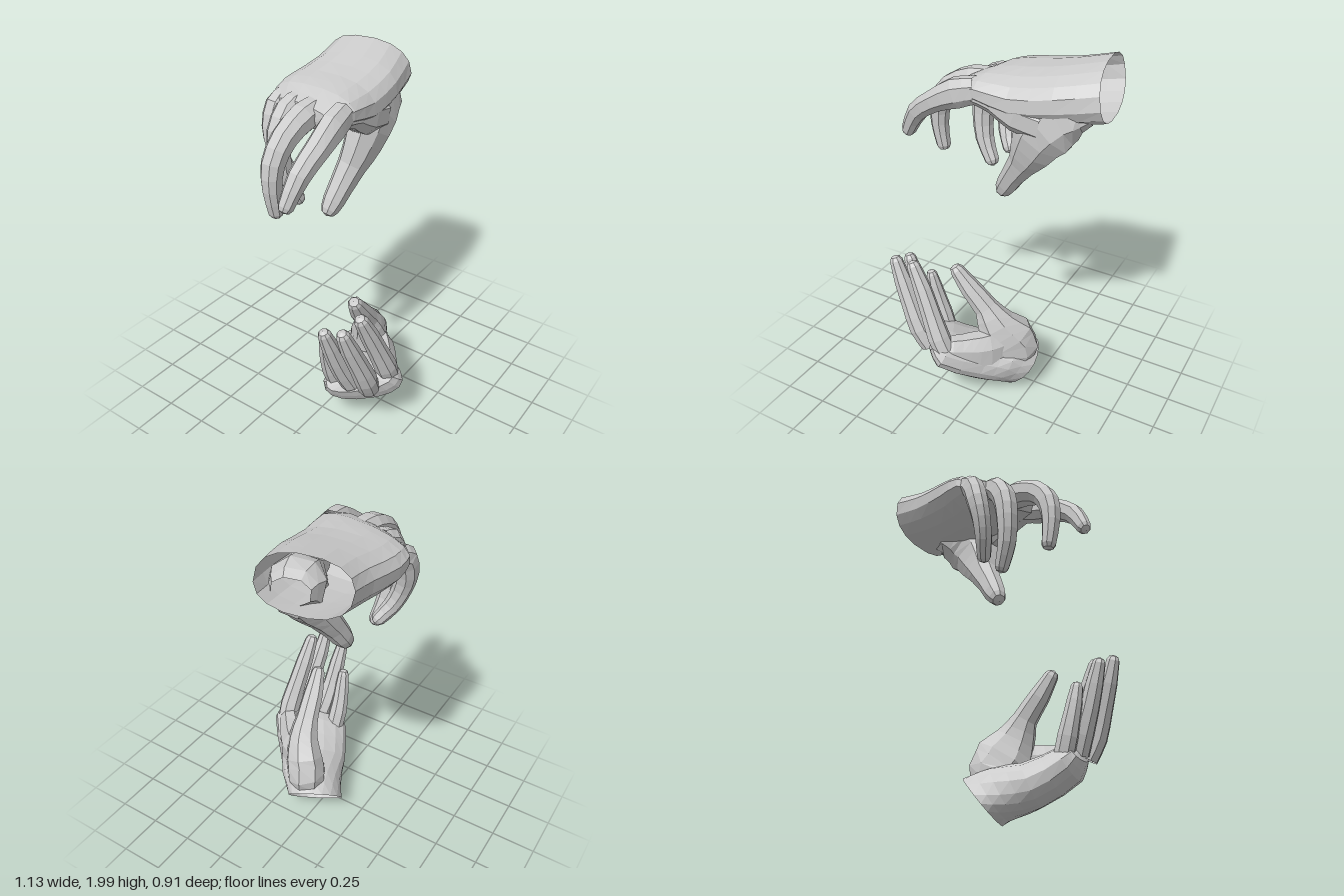
import * as THREE from 'three';

const V = (a) => new THREE.Vector3(a[0], a[1], a[2]);
const material = new THREE.MeshStandardMaterial({ color: 0xcccccc, flatShading: true, side: THREE.DoubleSide });

// Skin a list of closed rings, ending in a single apex point
function loft(name, rings, apex) {
  const n = rings[0].length, pos = [], idx = [];
  for (const ring of rings) for (const p of ring) pos.push(p.x, p.y, p.z);
  pos.push(apex.x, apex.y, apex.z);
  const last = rings.length - 1, tip = rings.length * n;
  for (let i = 0; i <= last; i++) {
    for (let j = 0; j < n; j++) {
      const a = i * n + j, b = i * n + (j + 1) % n;
      if (i < last) idx.push(a, b, a + n, b, b + n, a + n);
      else idx.push(a, b, tip);
    }
  }
  const geometry = new THREE.BufferGeometry();
  geometry.setAttribute('position', new THREE.Float32BufferAttribute(pos, 3));
  geometry.setIndex(idx);
  geometry.computeVertexNormals();
  const mesh = new THREE.Mesh(geometry, material);
  mesh.name = name;
  return mesh;
}

// Ring around centre c with half-axes w and t; power < 1 makes it boxier
function ring(c, w, t, sides, power) {
  const out = [];
  const soft = (x) => Math.sign(x) * Math.pow(Math.abs(x), power);
  for (let j = 0; j < sides; j++) {
    const a = (j + 0.5) / sides * Math.PI * 2;
    out.push(c.clone().addScaledVector(w, soft(Math.cos(a))).addScaledVector(t, soft(Math.sin(a))));
  }
  return out;
}

// Finger along points [x, y, z, radius, optional cross radius], with a rounded tip
function finger(name, pts, side) {
  const curve = new THREE.CatmullRomCurve3(pts.map(V));
  const segs = pts.length - 1, steps = segs * 2, rings = [];
  const flat = 1 / Math.cos(Math.PI / 8); // radii are measured to the flats
  const add = (c, T, ru, rv) => {
    const u = V(side).addScaledVector(T, -V(side).dot(T)).normalize();
    const v = T.clone().cross(u);
    rings.push(ring(c, u.multiplyScalar(ru * flat), v.multiplyScalar(rv * flat), 8, 0.9));
  };
  for (let i = 0; i <= steps; i++) {
    const k = Math.min(Math.floor(i / 2), segs - 1), f = i / 2 - k;
    const [, , , u0, v0 = u0] = pts[k], [, , , u1, v1 = u1] = pts[k + 1];
    add(curve.getPoint(i / steps), curve.getTangent(i / steps), u0 * (1 - f) + u1 * f, v0 * (1 - f) + v1 * f);
  }
  const end = curve.getPoint(1), T = curve.getTangent(1), [, , , u, v = u] = pts[segs];
  add(end.clone().addScaledVector(T, u * 0.6), T, u * 0.7, v * 0.7);
  return loft(name, rings, end.clone().addScaledVector(T, u * 0.9));
}

// Hand: open wrist, palm through sections [centre, half width, half thickness], five digits
function hand(name, sections, apex, digits, side) {
  const group = new THREE.Group();
  group.name = name;
  const axes = [0, 1, 2].map((k) => new THREE.CatmullRomCurve3(sections.map((s) => V(s[k]))));
  const rings = [], steps = (sections.length - 1) * 2;
  for (let i = 0; i <= steps; i++) {
    const [c, w, t] = axes.map((curve) => curve.getPoint(i / steps));
    rings.push(ring(c, w, t, 16, 0.85));
  }
  group.add(loft('palm', rings, V(apex)));
  for (const [part, pts] of Object.entries(digits)) group.add(finger(part, pts, side));
  return group;
}

export function createModel() {
  const model = new THREE.Group();
  model.name = 'pairOfHands';

  // Upper hand, palm down, fingers hanging; the thumb fans out into the palm
  const upper = hand('upperHand', [
    [[0.52, 1.86, -0.205], [0.03, 0, 0.235], [-0.03, 0.14, -0.02]],
    [[0.32, 1.82, -0.175], [0.01, 0, 0.26], [-0.01, 0.14, -0.01]],
    [[0.1, 1.79, -0.173], [0, 0, 0.28], [0, 0.13, -0.01]],
    [[-0.05, 1.805, -0.165], [-0.03, 0.01, 0.275], [0, 0.095, 0]],
    [[-0.15, 1.785, -0.15], [-0.06, 0.01, 0.23], [-0.01, 0.06, 0]],
  ], [-0.18, 1.775, -0.14], {
    indexFinger: [[-0.09, 1.815, 0.045, 0.055, 0.065], [-0.2, 1.785, 0.06, 0.06, 0.075], [-0.33, 1.72, 0.063, 0.057],
      [-0.45, 1.63, 0.05, 0.05], [-0.53, 1.5, 0.03, 0.036]],
    middleFinger: [[-0.09, 1.812, -0.112, 0.06], [-0.2, 1.795, -0.118, 0.068], [-0.34, 1.735, -0.122, 0.06],
      [-0.42, 1.63, -0.13, 0.054], [-0.435, 1.5, -0.13, 0.045], [-0.415, 1.37, -0.13, 0.036]],
    ringFinger: [[-0.08, 1.81, -0.24, 0.055], [-0.15, 1.785, -0.248, 0.062], [-0.215, 1.69, -0.255, 0.06],
      [-0.23, 1.56, -0.25, 0.054], [-0.21, 1.42, -0.23, 0.047], [-0.15, 1.305, -0.205, 0.036]],
    littleFinger: [[-0.03, 1.8, -0.365, 0.05], [-0.085, 1.765, -0.372, 0.058], [-0.125, 1.66, -0.375, 0.054],
      [-0.135, 1.55, -0.35, 0.047], [-0.115, 1.45, -0.31, 0.042], [-0.07, 1.375, -0.26, 0.034]],
    thumb: [[0.46, 1.765, -0.1, 0.09, 0.06], [0.37, 1.745, -0.07, 0.13, 0.12], [0.27, 1.67, -0.025, 0.108, 0.15],
      [0.19, 1.54, -0.03, 0.088, 0.115], [0.125, 1.43, -0.055, 0.072, 0.077], [0.06, 1.335, -0.075, 0.062],
      [0.01, 1.255, -0.092, 0.055], [-0.018, 1.212, -0.1, 0.045]],
  }, [0, 0, 1]);
  upper.add(finger('thumbWeb', [[0.25, 1.7, -0.005, 0.09], [0.12, 1.73, 0.015, 0.085, 0.09],
    [0.0, 1.785, 0.035, 0.065, 0.07], [-0.12, 1.8, 0.05, 0.05]], [0, 0, 1]));

  // Lower hand, palm up, fingers raised
  const lower = hand('lowerHand', [
    [[0.16, 0.13, -0.015], [0.05, -0.03, 0.14], [0.105, 0.115, 0]],
    [[0.08, 0.18, 0.06], [0.09, 0.02, 0.15], [0.065, 0.135, -0.02]],
    [[-0.045, 0.21, 0.135], [0.115, 0.045, 0.16], [0.03, 0.115, -0.04]],
    [[-0.205, 0.315, 0.255], [0.11, 0.055, 0.19], [0.03, 0.085, -0.05]],
    [[-0.255, 0.365, 0.265], [0.09, 0.055, 0.16], [0.03, 0.045, -0.03]],
  ], [-0.27, 0.39, 0.26], {
    indexFinger: [[-0.13, 0.385, 0.375, 0.055], [-0.165, 0.46, 0.375, 0.058], [-0.22, 0.59, 0.36, 0.051],
      [-0.28, 0.73, 0.342, 0.046], [-0.34, 0.855, 0.33, 0.034]],
    middleFinger: [[-0.255, 0.345, 0.33, 0.055], [-0.31, 0.45, 0.345, 0.057], [-0.37, 0.59, 0.335, 0.05],
      [-0.425, 0.72, 0.32, 0.045], [-0.47, 0.835, 0.31, 0.033]],
    ringFinger: [[-0.28, 0.345, 0.23, 0.052], [-0.325, 0.44, 0.215, 0.054], [-0.38, 0.56, 0.205, 0.048],
      [-0.425, 0.68, 0.197, 0.043], [-0.465, 0.785, 0.19, 0.032]],
    littleFinger: [[-0.275, 0.325, 0.12, 0.05], [-0.305, 0.41, 0.115, 0.05], [-0.335, 0.51, 0.115, 0.043],
      [-0.355, 0.59, 0.118, 0.038], [-0.37, 0.66, 0.12, 0.029]],
    thumb: [[0.13, 0.21, 0.04, 0.09, 0.09], [0.145, 0.285, 0.055, 0.105, 0.13], [0.11, 0.37, 0.095, 0.1, 0.15],
      [0.06, 0.47, 0.13, 0.08, 0.105], [0, 0.575, 0.14, 0.06, 0.063], [-0.09, 0.685, 0.155, 0.053],
      [-0.165, 0.79, 0.17, 0.036]],
  }, [0.5, 0.25, 0.85]);
  // Tall fold of skin from the thumb to the base of the index finger
  lower.add(finger('thumbWeb', [[0.1, 0.33, 0.13, 0.12, 0.07], [0.05, 0.325, 0.205, 0.13, 0.075],
    [-0.03, 0.335, 0.28, 0.115, 0.07], [-0.11, 0.36, 0.35, 0.09, 0.06]], [0, 1, 0]));

  model.add(upper, lower);
  return model;
}
